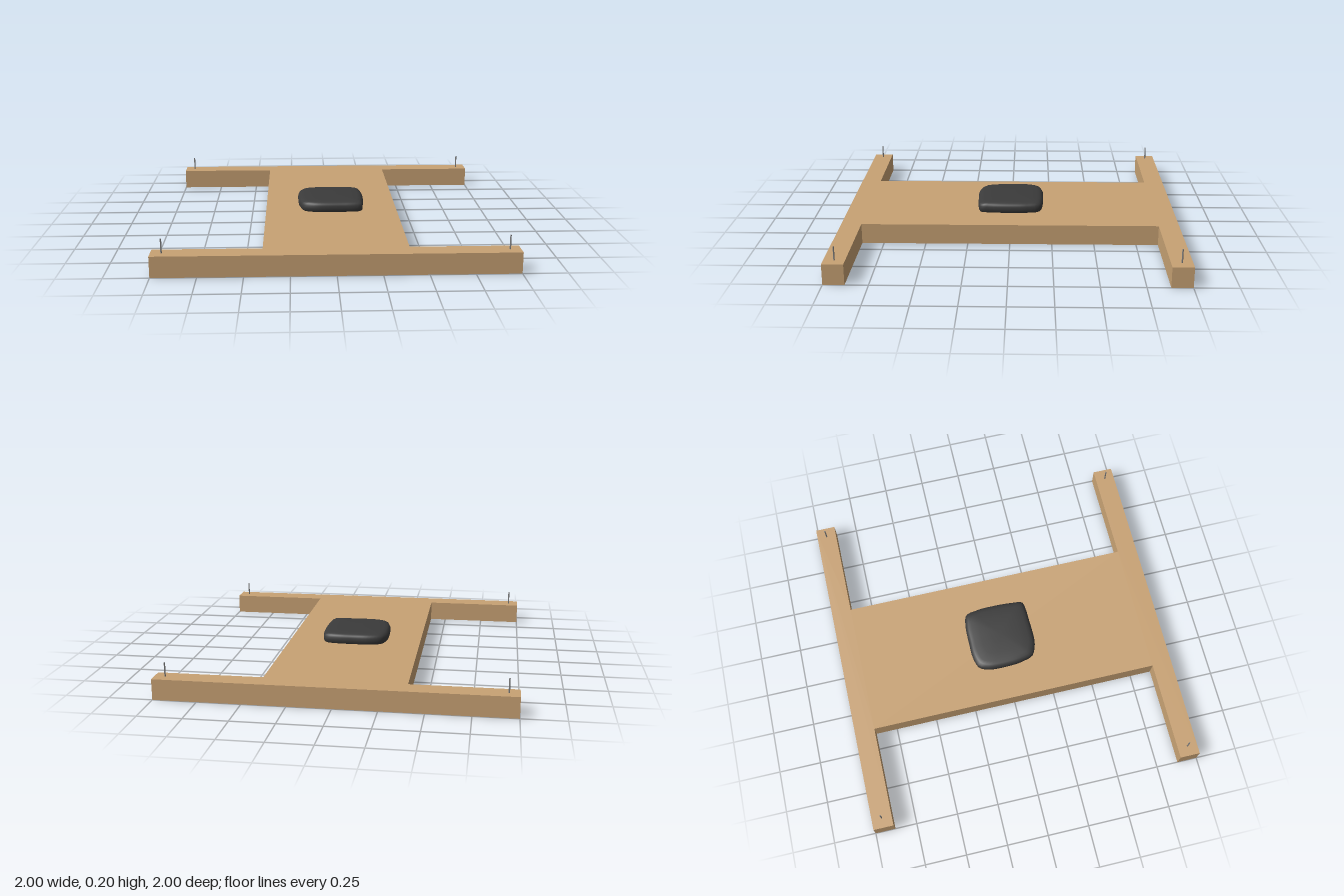
import * as THREE from 'three';

const wood = new THREE.MeshStandardMaterial({ name: 'tan wood', color: 0xc8a274 });
const dark = new THREE.MeshStandardMaterial({ name: 'charcoal', color: 0x3b3b3b });
const steel = new THREE.MeshStandardMaterial({ name: 'grey steel', color: 0x808080 });

function addMesh(group, name, geometry, material) {
  const mesh = new THREE.Mesh(geometry, material);
  mesh.name = name;
  group.add(mesh);
  return mesh;
}

// Cushion skinned over scaled copies of one soft, slightly uneven square outline
function padGeometry() {
  const outline = [
    [0.2, -0.08], [0.2, 0.06], [0.194, 0.13], [0.185, 0.185], [0.14, 0.197], [0.07, 0.2],
    [-0.09, 0.2], [-0.14, 0.185], [-0.172, 0.165], [-0.19, 0.11], [-0.2, 0.05],
    [-0.2, -0.1], [-0.19, -0.14], [-0.17, -0.175], [-0.1, -0.198], [0, -0.2],
    [0.1, -0.198], [0.172, -0.182], [0.188, -0.16], [0.194, -0.12],
  ];
  const curve = new THREE.CatmullRomCurve3(outline.map(([x, z]) => new THREE.Vector3(x, 0, z)), true);
  const n = 64;
  const ring = curve.getSpacedPoints(n).slice(0, n);
  // [height, scale]
  const sections = [[0.12, 0.96], [0.128, 0.99], [0.142, 1], [0.158, 1], [0.17, 0.97],
    [0.178, 0.91], [0.182, 0.82], [0.186, 0.6], [0.188, 0.3]];
  const positions = [], index = [];
  for (const [y, s] of sections) for (const p of ring) positions.push(p.x * s, y, p.z * s);
  for (let j = 0; j < sections.length - 1; j++) {
    for (let i = 0; i < n; i++) {
      const a = j * n + i, b = j * n + (i + 1) % n;
      index.push(a, a + n, b, b, a + n, b + n);
    }
  }
  const centre = positions.length / 3, last = (sections.length - 1) * n;
  positions.push(0, 0.189, 0);
  for (let i = 0; i < n; i++) index.push(centre, last + (i + 1) % n, last + i);
  const geometry = new THREE.BufferGeometry();
  geometry.setAttribute('position', new THREE.Float32BufferAttribute(positions, 3));
  geometry.setIndex(index);
  geometry.computeVertexNormals();
  return geometry;
}

export function createModel() {
  const group = new THREE.Group();
  group.name = 'padded frame';

  // One-piece H-shaped board
  const outline = [[-1, -1], [1, -1], [1, -0.88], [0.4, -0.88], [0.4, 0.88], [1, 0.88],
    [1, 1], [-1, 1], [-1, 0.88], [-0.4, 0.88], [-0.4, -0.88], [-1, -0.88]];
  const shape = new THREE.Shape(outline.map(([x, y]) => new THREE.Vector2(x, y)));
  const board = new THREE.ExtrudeGeometry(shape, { depth: 0.12, bevelEnabled: false });
  board.rotateX(-Math.PI / 2);
  addMesh(group, 'board', board, wood);

  // Central pad
  addMesh(group, 'pad', padGeometry(), dark);

  // Thin upright pins at the four arm ends
  const pin = new THREE.CylinderGeometry(0.004, 0.004, 0.08, 12);
  for (const x of [-0.94, 0.94]) {
    for (const z of [-0.94, 0.94]) {
      const name = (z > 0 ? 'front' : 'back') + (x > 0 ? 'Left' : 'Right') + 'Pin';
      addMesh(group, name, pin, steel).position.set(x, 0.16, z);
    }
  }
  return group;
}
